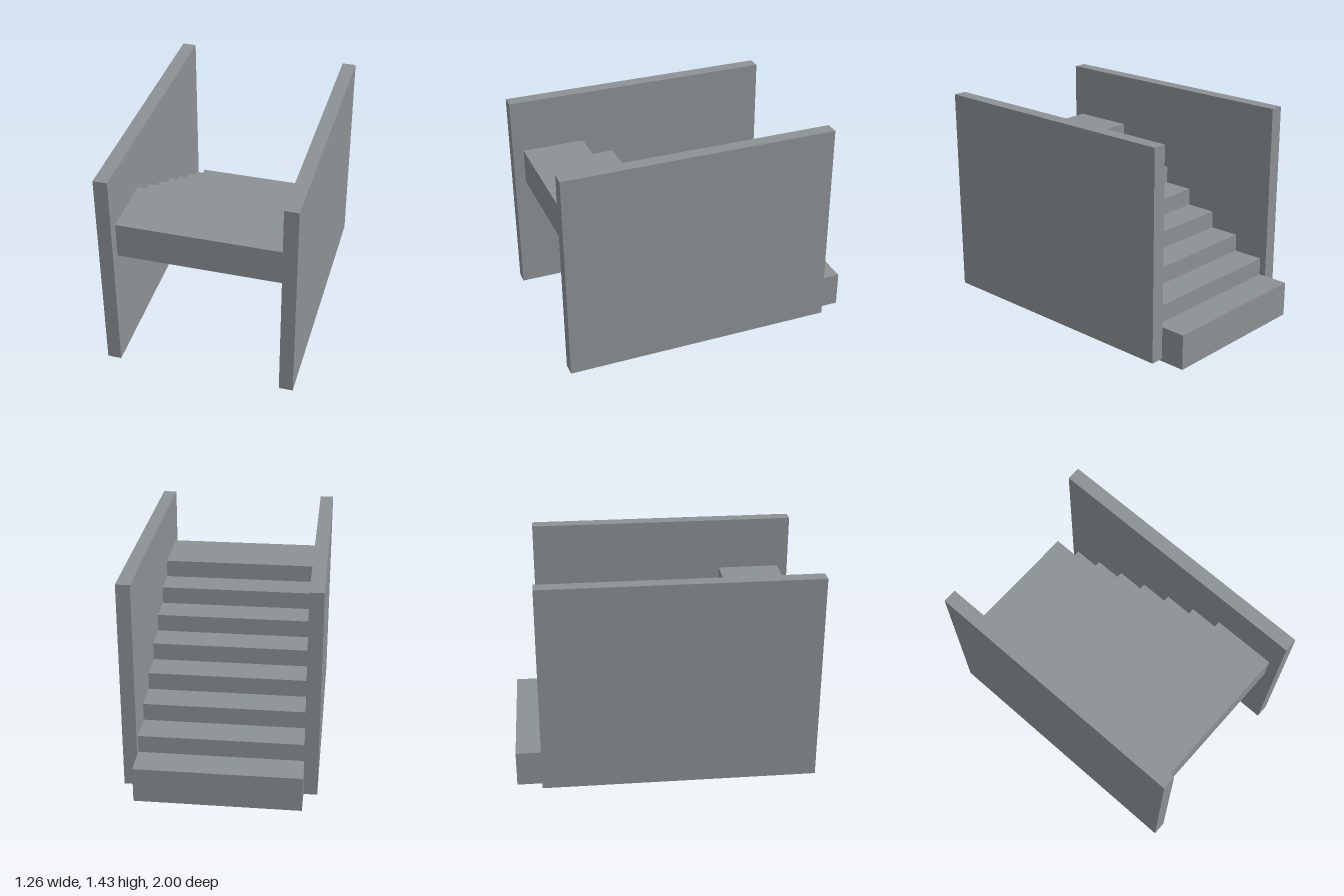
import * as THREE from 'three';

export function createModel() {
  const group = new THREE.Group();
  group.name = 'staircase';
  const concrete = new THREE.MeshStandardMaterial({ color: 0x8c9194 });
  concrete.name = 'concrete grey';

  // Box given by its lower and upper limits on each axis
  function block(name, [x0, x1], [y0, y1], [z0, z1]) {
    const mesh = new THREE.Mesh(new THREE.BoxGeometry(x1 - x0, y1 - y0, z1 - z0), concrete);
    mesh.name = name;
    mesh.position.set((x0 + x1) / 2, (y0 + y1) / 2, (z0 + z1) / 2);
    group.add(mesh);
  }

  // Overlapping steps, rising from the back to the front
  const rise = 0.119, run = 0.214;
  for (let i = 0; i < 8; i++) {
    const y = i * rise, z = -1 + i * run;
    block(`step${i + 1}`, [-0.542, 0.542], [y, y + 2 * rise], [z, z + 2 * run]);
  }

  // Side walls
  block('leftWall', [0.54, 0.632], [0.018, 1.432], [-0.832, 1]);
  block('rightWall', [-0.632, -0.54], [0.018, 1.432], [-0.832, 1]);

  return group;
}
